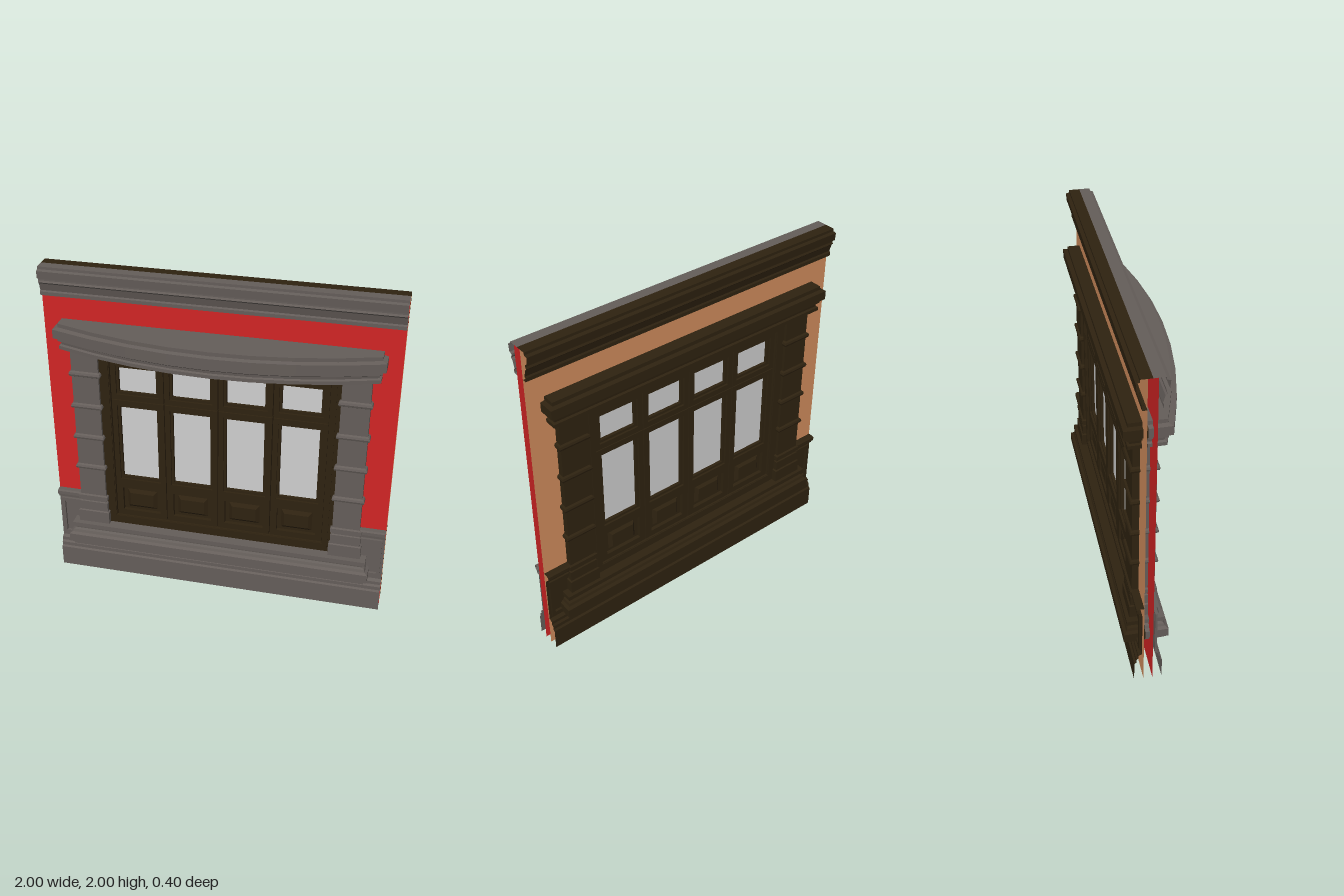
import * as THREE from 'three';

const ZC = -0.08; // middle plane of the wall; profiles give depth away from it

function material(name, color) {
  const m = new THREE.MeshStandardMaterial({ color, side: THREE.DoubleSide });
  m.name = name;
  return m;
}

function geometryFrom(positions) {
  const g = new THREE.BufferGeometry();
  g.setAttribute('position', new THREE.Float32BufferAttribute(positions, 3));
  g.computeVertexNormals();
  return g;
}

// Open moulding: a [y, depth] profile drawn along x, s = 1 front, -1 back
function strip(profile, x0, x1, s) {
  const out = [];
  for (let i = 0; i < profile.length - 1; i++) {
    const [ya, da] = profile[i], [yb, db] = profile[i + 1];
    const za = ZC + s * da, zb = ZC + s * db;
    const a = [x0, ya, za], b = [x1, ya, za], c = [x1, yb, zb], d = [x0, yb, zb];
    out.push(...(s > 0 ? [a, b, c, a, c, d] : [a, c, b, a, d, c]).flat());
  }
  return geometryFrom(out);
}

// Solid half: rings of [y, outward offset] around a plan with depth(t), t = -1..1
function mass(x0, x1, depth, rings, s, segments = 1) {
  const cx = (x0 + x1) / 2, half = (x1 - x0) / 2, out = [];
  const loops = rings.map(([y, o]) => {
    const w = half + o, pts = [[cx - w, y, ZC]];
    for (let i = 0; i <= segments; i++) {
      const t = (2 * i) / segments - 1;
      pts.push([cx + w * t, y, ZC + s * (depth(t) + o)]);
    }
    pts.push([cx + w, y, ZC]);
    return s > 0 ? pts : pts.reverse();
  });
  const n = loops[0].length;
  for (let r = 0; r < loops.length - 1; r++) {
    for (let i = 0; i < n; i++) {
      const j = (i + 1) % n, lo = loops[r], hi = loops[r + 1];
      out.push(...[lo[i], lo[j], hi[j], lo[i], hi[j], hi[i]].flat());
    }
  }
  const bottom = loops[0], top = loops[loops.length - 1];
  for (let i = 1; i < n - 1; i++) {
    out.push(...top[0], ...top[i], ...top[i + 1]);
    out.push(...bottom[0], ...bottom[i + 1], ...bottom[i]);
  }
  return geometryFrom(out);
}

function rectangle(x0, x1, y0, y1, Type = THREE.Shape) {
  const p = new Type();
  p.moveTo(x0, y0);
  p.lineTo(x1, y0);
  p.lineTo(x1, y1);
  p.lineTo(x0, y1);
  p.closePath();
  return p;
}

// Flat plate with rectangular holes
function plate(outer, holes) {
  const shape = rectangle(...outer);
  holes.forEach((h) => shape.holes.push(rectangle(...h, THREE.Path)));
  return shape;
}

// Plate thickened evenly about the wall's middle plane
function frame(outer, holes, d) {
  const g = new THREE.ExtrudeGeometry(plate(outer, holes), { depth: 2 * d, bevelEnabled: false });
  return g.translate(0, 0, ZC - d);
}

export function createModel() {
  const group = new THREE.Group();
  const stone = material('grey stone', 0x645d59);
  const wood = material('dark brown wood', 0x2e2210);
  const red = material('red wall', 0xd02424);
  const tan = material('tan inner wall', 0xd08c5c);
  const pane = material('pale glass', 0xcecece);
  const add = (name, geometry, mat) => {
    const m = new THREE.Mesh(geometry, mat);
    m.name = name;
    group.add(m);
    return m;
  };

  // Outer and inner wall skins around the window opening
  const opening = [-0.69, 0.69, 0.36, 1.535];
  const skin = () => new THREE.ShapeGeometry(plate([-1, 1, 0, 2], [opening]));
  add('outerWall', skin().translate(0, 0, ZC + 0.025), red);
  add('innerWall', skin().rotateY(Math.PI).translate(0, 0, ZC - 0.025), tan);

  // Moulding profiles
  const cornice = [[1.83, 0.025], [1.83, 0.05], [1.85, 0.05], [1.858, 0.044], [1.9, 0.056],
    [1.91, 0.066], [1.92, 0.06], [1.932, 0.06], [1.936, 0.076], [1.98, 0.08], [1.985, 0.06], [2, 0.06], [2, 0]];
  const base = [[0, 0.077], [0.13, 0.077], [0.138, 0.066], [0.16, 0.066], [0.17, 0.055], [0.19, 0.055], [0.2, 0.035]];
  const dado = [[0.2, 0.035], [0.495, 0.035], [0.5, 0.05], [0.515, 0.052], [0.525, 0.066], [0.545, 0.066], [0.55, 0.055], [0.55, 0.025]];

  const lintel = [[1.535, -0.024], [1.555, -0.024], [1.56, -0.036], [1.575, -0.034], [1.585, -0.02],
    [1.6, -0.02], [1.61, 0], [1.662, 0], [1.668, -0.024], [1.69, -0.024]];
  const sill = [[0.2, -0.02], [0.218, -0.02], [0.226, 0], [0.28, 0], [0.29, -0.016], [0.305, -0.022],
    [0.312, -0.036], [0.325, -0.034], [0.33, -0.02], [0.357, -0.02]];

  // Pilaster with stepped pedestal and rounded bands
  const pilaster = [[0.355, 0.016], [0.435, 0.016], [0.44, 0.008], [0.5, 0.008], [0.503, 0], [0.515, 0],
    [0.52, 0.011], [0.545, 0.011], [0.55, 0]];
  for (const y of [0.75, 0.957, 1.163, 1.37]) {
    pilaster.push([y - 0.018, 0], [y - 0.012, 0.01], [y, 0.014], [y + 0.012, 0.01], [y + 0.018, 0]);
  }
  pilaster.push([1.537, 0]);

  // Front half in stone, back half in wood
  for (const s of [1, -1]) {
    const mat = s > 0 ? stone : wood;
    const side = s > 0 ? 'front' : 'back';
    add(side + 'Cornice', strip(cornice, -1, 1, s), mat);
    add(side + 'BaseCourse', strip(base, -1, 1, s), mat);
    add(side + 'Sill', mass(-0.92, 0.92, () => (s > 0 ? 0.13 : 0.118), sill, s), mat);
    const bow = s > 0 ? (t) => 0.277 - 0.155 * t * t : () => 0.12;
    add(side + 'Lintel', mass(-0.92, 0.92, bow, lintel, s, s > 0 ? 8 : 1), mat);
    for (const k of [1, -1]) {
      const span = (a, b) => (k > 0 ? [a, b] : [-b, -a]);
      const hand = k > 0 ? 'Left' : 'Right';
      add(side + hand + 'Pilaster', mass(...span(0.69, 0.85), () => 0.062, pilaster, s), mat);
      add(side + hand + 'Dado', strip(dado, ...span(0.72, 1), s), mat);
      // Raised frame on the dado panel
      const ring = plate([...span(0.78, 0.985), 0.225, 0.487], [[...span(0.8, 0.965), 0.247, 0.465]]);
      const g = new THREE.ExtrudeGeometry(ring, { depth: 0.016, bevelEnabled: false });
      add(side + hand + 'DadoPanel', g.translate(0, 0, s > 0 ? ZC + 0.034 : ZC - 0.05), mat);
    }
  }

  // Window frame
  add('windowFrame', frame([-0.69, 0.69, 0.357, 1.535], [[-0.63, 0.63, 0.415, 1.467]], 0.045), wood);
  add('windowFrameBead', frame([-0.665, 0.665, 0.385, 1.5], [[-0.635, 0.635, 0.412, 1.47]], 0.05), wood);

  // Four bays, each with a small upper sash and a tall panelled lower sash
  for (let i = 0; i < 4; i++) {
    const x = (i - 1.5) * 0.315;
    const box = (w, y0, y1) => [x - w, x + w, y0, y1];
    add('upperSash', frame(box(0.155, 1.218, 1.467), [box(0.125, 1.25, 1.435)], 0.034), wood);
    add('lowerSash', frame(box(0.155, 0.415, 1.213), [box(0.125, 0.675, 1.18), box(0.116, 0.453, 0.612)], 0.034), wood);
    for (const [y0, y1] of [[1.265, 1.42], [0.69, 1.165]]) {
      add('glazingBead', frame(box(0.126, y0 - 0.016, y1 + 0.016), [box(0.11, y0, y1)], 0.022), wood);
      add('glass', frame(box(0.112, y0 - 0.002, y1 + 0.002), [], 0.004), pane);
    }
    // Raised panel under the glass
    add('panelBack', frame(box(0.118, 0.45, 0.615), [], 0.012), wood);
    const field = new THREE.ExtrudeGeometry(rectangle(...box(0.072, 0.49, 0.575)), {
      depth: 0.024, bevelThickness: 0.018, bevelSize: 0.02, bevelSegments: 1,
    });
    add('raisedPanel', field.translate(0, 0, ZC - 0.012), wood);
  }

  return group;
}
